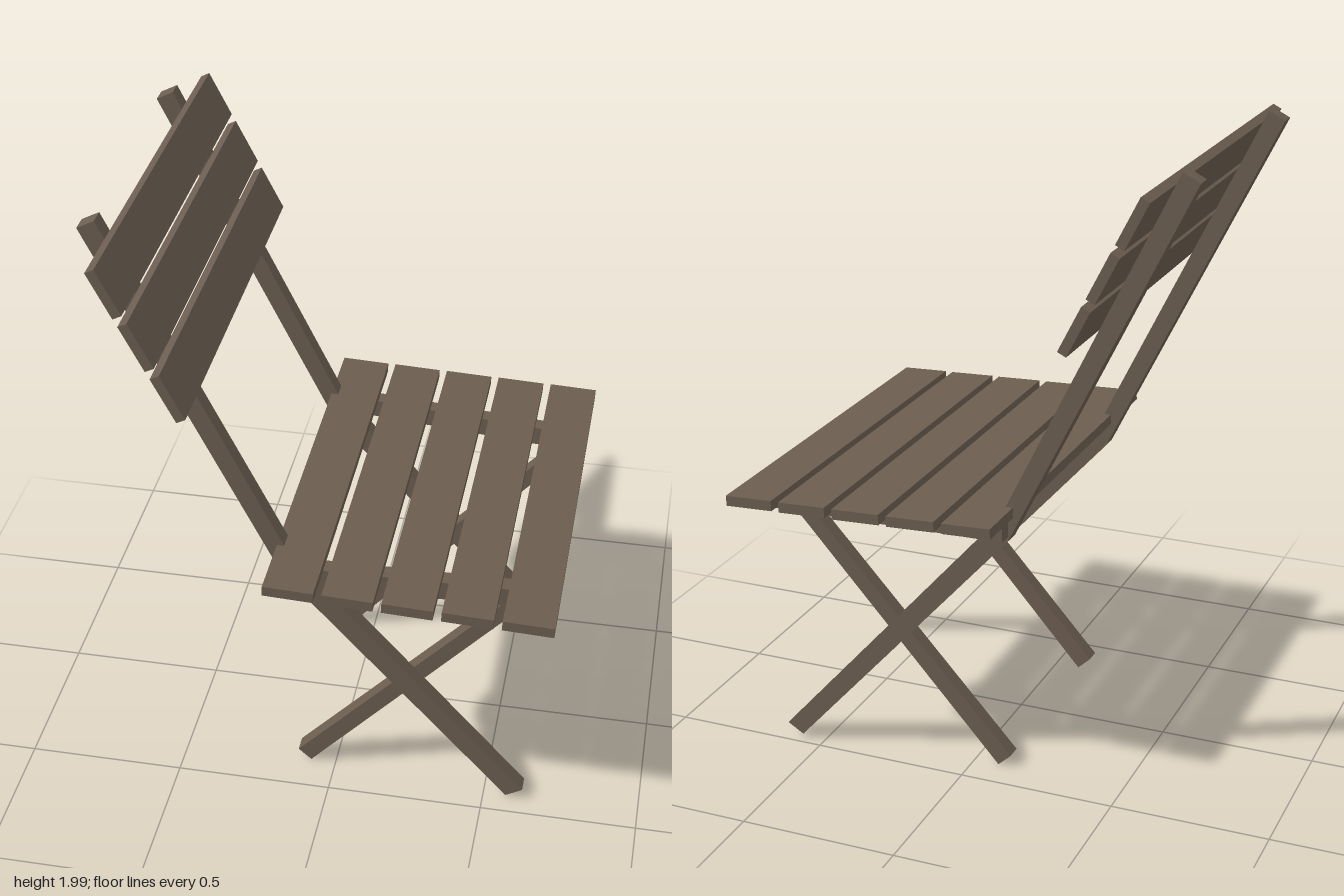
import * as THREE from 'three';

const wood = new THREE.MeshStandardMaterial({ color: 0x6b5d50 });
wood.name = 'brown wood';

// Side outline extruded from z0 to z1, with an optional sideways lean zShift(x, y)
function beam(name, points, z0, z1, zShift) {
  const shape = new THREE.Shape(points.map(([x, y]) => new THREE.Vector2(x, y)));
  const geo = new THREE.ExtrudeGeometry(shape, { depth: z1 - z0, bevelEnabled: false });
  geo.translate(0, 0, z0);
  if (zShift) {
    const p = geo.attributes.position;
    for (let i = 0; i < p.count; i++) p.setZ(i, p.getZ(i) + zShift(p.getX(i), p.getY(i)));
    geo.computeVertexNormals();
  }
  const mesh = new THREE.Mesh(geo, wood);
  mesh.name = name;
  return mesh;
}

// Flat board running the full width of the chair
function slat(name, x, y, tilt, thickness) {
  const mesh = new THREE.Mesh(new THREE.BoxGeometry(0.155, thickness, 1.3), wood);
  mesh.position.set(x, y, 0);
  mesh.rotation.z = tilt;
  mesh.name = name;
  return mesh;
}

export function createModel() {
  const chair = new THREE.Group();
  chair.name = 'foldingChair';

  // Seat boards, sloping gently down towards the front edge
  const seat = new THREE.Group();
  seat.name = 'seat';
  for (let i = 0; i < 5; i++) {
    seat.add(slat('seatSlat', -0.088 + i * 0.18, 0.912 - i * 0.006, -0.04, 0.033));
  }

  // Backrest boards on the front of the posts
  const backrest = new THREE.Group();
  backrest.name = 'backrest';
  for (let i = 0; i < 3; i++) {
    backrest.add(slat('backSlat', -0.584 + i * 0.0825, 1.886 - i * 0.1615, -1.102, 0.03));
  }

  // Bent posts that continue down into the forward legs
  const post = [[-0.717, 1.968], [-0.664, 1.995], [-0.124, 0.894], [0.627, 0.048], [0.574, 0.016], [-0.15, 0.82]];
  // Inner legs crossing backwards
  const leg = [[-0.124, 0.042], [-0.082, 0.003], [0.65, 0.825], [0.62, 0.862]];
  // Rails beneath the seat, splayed outwards at the back
  const rail = [[-0.15, 0.835], [0.70, 0.80], [0.70, 0.865], [-0.15, 0.895]];

  chair.add(
    seat, backrest,
    beam('postAndFrontLeg', post, 0.387, 0.441),
    beam('postAndFrontLeg', post, -0.473, -0.418),
    beam('rearLeg', leg, 0.325, 0.378, (x, y) => 0.014 * y),
    beam('rearLeg', leg, -0.395, -0.345, (x, y) => -0.006 * y),
    beam('seatRail', rail, 0.387, 0.44, (x) => 0.07 * (0.7 - x)),
    beam('seatRail', rail, -0.468, -0.417, (x) => -0.063 * (0.7 - x)),
  );
  return chair;
}
